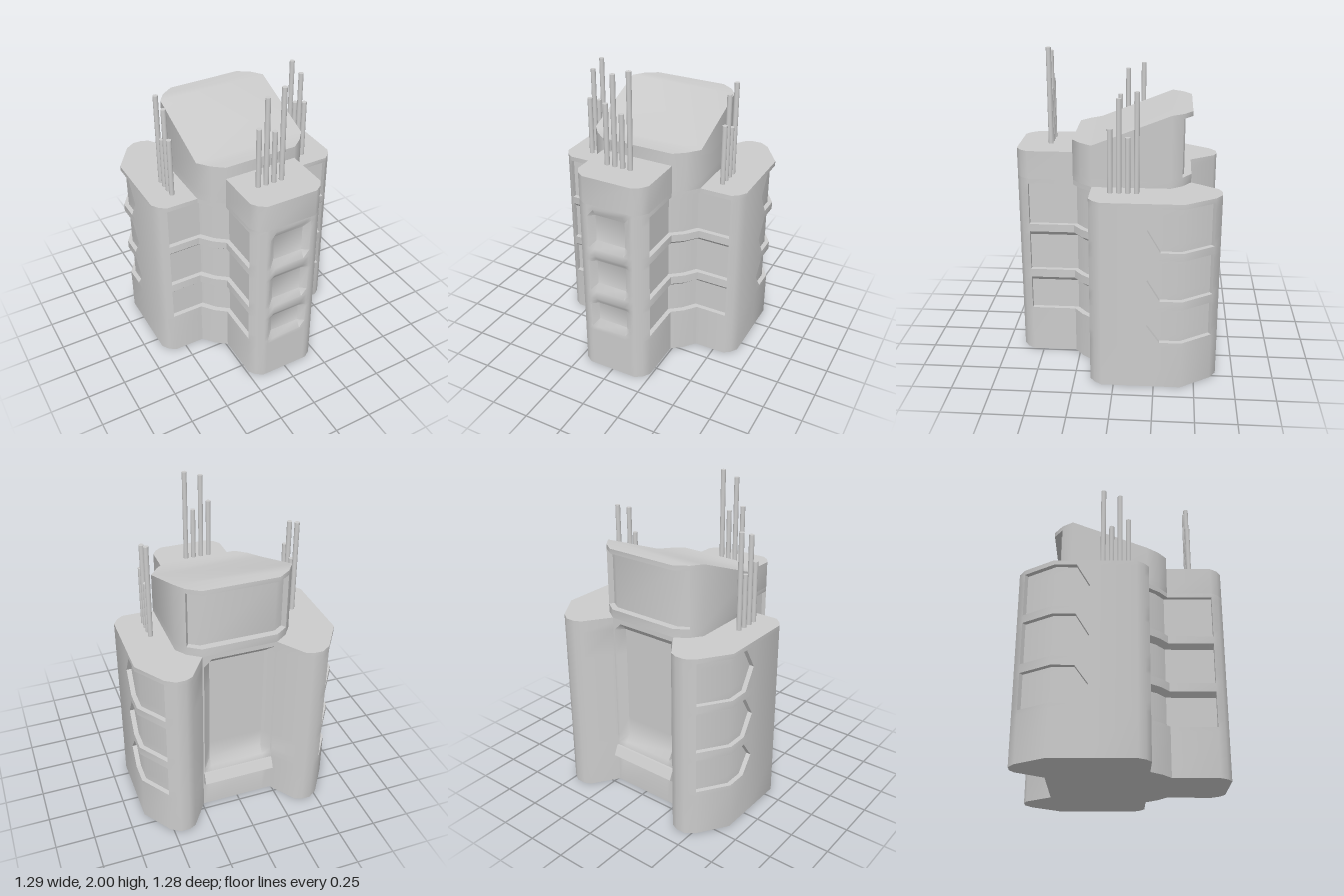
import * as THREE from 'three';
import { mergeGeometries, toCreasedNormals } from 'three/addons/utils/BufferGeometryUtils.js';

const WING_TOP = 1.21, FRONT_TOP = 1.39;
const WINDOWS = [[0.31, 0.535], [0.59, 0.855], [0.905, 1.18]];
const clamp01 = (v) => Math.min(1, Math.max(0, v));

// Half footprints, front to back: x, z, then the recess zone and its offset
const BASE = [
  [0.10, 0.64, 'pit', 0, -0.03], [0.14, 0.64], [0.165, 0.64], [0.21, 0.61], [0.24, 0.565],
  [0.24, 0.565, 'corner', -0.03, 0], [0.24, 0.28, 'corner', -0.03, -0.02],
  [0.31, 0.225, 'corner', -0.025, -0.025], [0.37, 0.15, 'corner', -0.025, -0.03],
  [0.575, 0.15, 'corner', 0, -0.03], [0.575, 0.15],
  [0.615, 0.12], [0.645, 0.075], [0.645, -0.20],
  [0.645, -0.20, 'outer', -0.03, 0], [0.645, -0.415, 'outer', -0.03, 0.01],
  [0.52, -0.6, 'outer', -0.025, 0.017], [0.52, -0.6],
  [0.46, -0.64], [0.40, -0.64], [0.355, -0.62], [0.24, -0.455],
  [0.23, -0.455], [0.18, -0.455, 'back', 0, 0.05],
];
const CORE = [
  [0.24, 0.28], [0.31, 0.225], [0.37, 0.15], [0.37, -0.33], [0.32, -0.4],
  [0.32, -0.4, 'back', -0.02, 0.03], [0.24, -0.455, 'back', 0, 0.045],
];
const FRONT = [[0.165, 0.64], [0.21, 0.61], [0.24, 0.565], [0.24, 0.27]];

const mirror = (half) => [
  ...half,
  ...[...half].reverse().map(([x, z, zone, dx = 0, dz = 0]) => [-x, z, zone, -dx, dz]),
];

function geometryFrom(positions) {
  const g = new THREE.BufferGeometry();
  g.setAttribute('position', new THREE.Float32BufferAttribute(positions, 3));
  return g;
}

// Walls running through stacked rings; each ring says how deep every zone is
function loft(outline, rings, roof = () => Infinity) {
  const rows = rings.map((r) => outline.map(([x, z, zone, dx, dz]) => {
    const k = zone ? r[zone] || 0 : 0;
    return new THREE.Vector3(x + (dx || 0) * k, Math.min(r.y, roof(z)), z + (dz || 0) * k);
  }));
  const out = [];
  const tri = (...p) => {
    if (new THREE.Triangle(...p).getArea() > 1e-7) p.forEach((v) => out.push(v.x, v.y, v.z));
  };
  for (let j = 0; j + 1 < rows.length; j++) {
    for (let i = 0; i < outline.length; i++) {
      const n = (i + 1) % outline.length;
      tri(rows[j][i], rows[j][n], rows[j + 1][n]);
      tri(rows[j][i], rows[j + 1][n], rows[j + 1][i]);
    }
  }
  return geometryFrom(out);
}

// Horizontal lid over an outline; the height may vary with z
function lid(outline, height, down = false) {
  const shape = new THREE.Shape(outline.map(([x, z]) => new THREE.Vector2(x, down ? z : -z)));
  const g = new THREE.ShapeGeometry(shape).rotateX(down ? Math.PI / 2 : -Math.PI / 2).toNonIndexed();
  const p = g.attributes.position;
  for (let i = 0; i < p.count; i++) p.setY(i, height(p.getZ(i)));
  g.deleteAttribute('uv');
  g.deleteAttribute('normal');
  return g;
}

export function createModel() {
  const group = new THREE.Group();
  const grey = new THREE.MeshStandardMaterial({ color: 0xcccccc });
  const add = (name, geometry) => {
    const mesh = new THREE.Mesh(geometry, grey);
    mesh.name = name;
    group.add(mesh);
    return mesh;
  };
  const solid = (name, parts) => add(name, toCreasedNormals(mergeGeometries(parts), 0.7));

  // Three-winged base with window bands, front dents and a rear panel
  const back = (y) => clamp01((y - 0.28) / 0.08) * clamp01((1.18 - y) / 0.05);
  const rings = [{ y: 0 }, { y: 0.28 }];
  WINDOWS.forEach(([y0, y1], i) => {
    const slope = i < 2 ? 0.03 : 0;
    rings.push(
      { y: y0 },
      { y: y0, outer: 1, corner: 1 },
      { y: y0 + 0.05, outer: 1, corner: 1, pit: 1 },
      { y: y1 - 0.05, outer: 1, corner: 1, pit: 1 },
      { y: y1 - slope, outer: 1, corner: 1, pit: slope / 0.05 },
      { y: y1, outer: 1 },
      { y: y1 },
    );
  });
  rings.push({ y: WING_TOP });
  rings.forEach((r) => { r.back = back(r.y); });
  const base = mirror(BASE);
  solid('wingedBase', [
    loft(base, rings), lid(base, () => WING_TOP), lid(base, () => 0, true),
  ]);

  // Corner fillers that give the outer windows their pointed ends
  for (const side of [-1, 1]) {
    for (const [y0, y1] of WINDOWS) {
      for (const y of [y0, y1]) {
        const tri = new THREE.Shape([
          new THREE.Vector2(0.28, y), new THREE.Vector2(0.2, y),
          new THREE.Vector2(0.2, (y0 + y1) / 2),
        ]);
        const g = new THREE.ExtrudeGeometry(tri, { depth: 0.03, bevelEnabled: false });
        g.rotateY(Math.PI / 2).translate(side > 0 ? 0.615 : -0.645, 0, 0);
        add('windowPoint', g);
      }
    }
  }

  // Upper part of the front wing
  const front = mirror(FRONT).reverse();
  front.reverse();
  solid('frontWingTop', [
    loft(front, [{ y: WING_TOP }, { y: FRONT_TOP }]), lid(front, () => FRONT_TOP),
  ]);

  // Central core with a sloping roof and a rear window
  const roof = (z) => 1.47 + 0.19 * clamp01((0.15 - z) / 0.48);
  const core = mirror(CORE);
  const roofPart = (from, to) => lid(mirror(CORE.slice(from, to)), roof);
  solid('core', [
    loft(core, [
      { y: WING_TOP }, { y: 1.265 }, { y: 1.265, back: 1 },
      { y: 1.63, back: 1 }, { y: 1.63 }, { y: 2 },
    ], roof),
    roofPart(0, 3), roofPart(2, 4), roofPart(3, 7),
  ]);

  // Wedge-shaped ledge below the rear panel
  const wedge = new THREE.Shape([
    new THREE.Vector2(0.44, 0.19), new THREE.Vector2(0.47, 0.19), new THREE.Vector2(0.5, 0.215),
    new THREE.Vector2(0.47, 0.28), new THREE.Vector2(0.44, 0.28),
  ]);
  add('rearLedge', new THREE.ExtrudeGeometry(wedge, { depth: 0.475, bevelEnabled: false })
    .rotateY(Math.PI / 2).translate(-0.2375, 0, 0));

  // Rooftop masts
  const mast = (x, z, bottom, top) => {
    const g = new THREE.CylinderGeometry(0.016, 0.016, top - bottom, 12);
    add('mast', g).position.set(x, (top + bottom) / 2, z);
  };
  [1.78, 1.965, 1.735, 2].forEach((top, i) => mast(-0.112 + i * 0.053, 0.44, FRONT_TOP, top));
  [1.6, 1.78, 1.55, 1.82].forEach((top, i) => {
    for (const x of [-0.485, 0.465]) mast(x, 0.03 - i * 0.053, WING_TOP, top);
  });
  return group;
}
